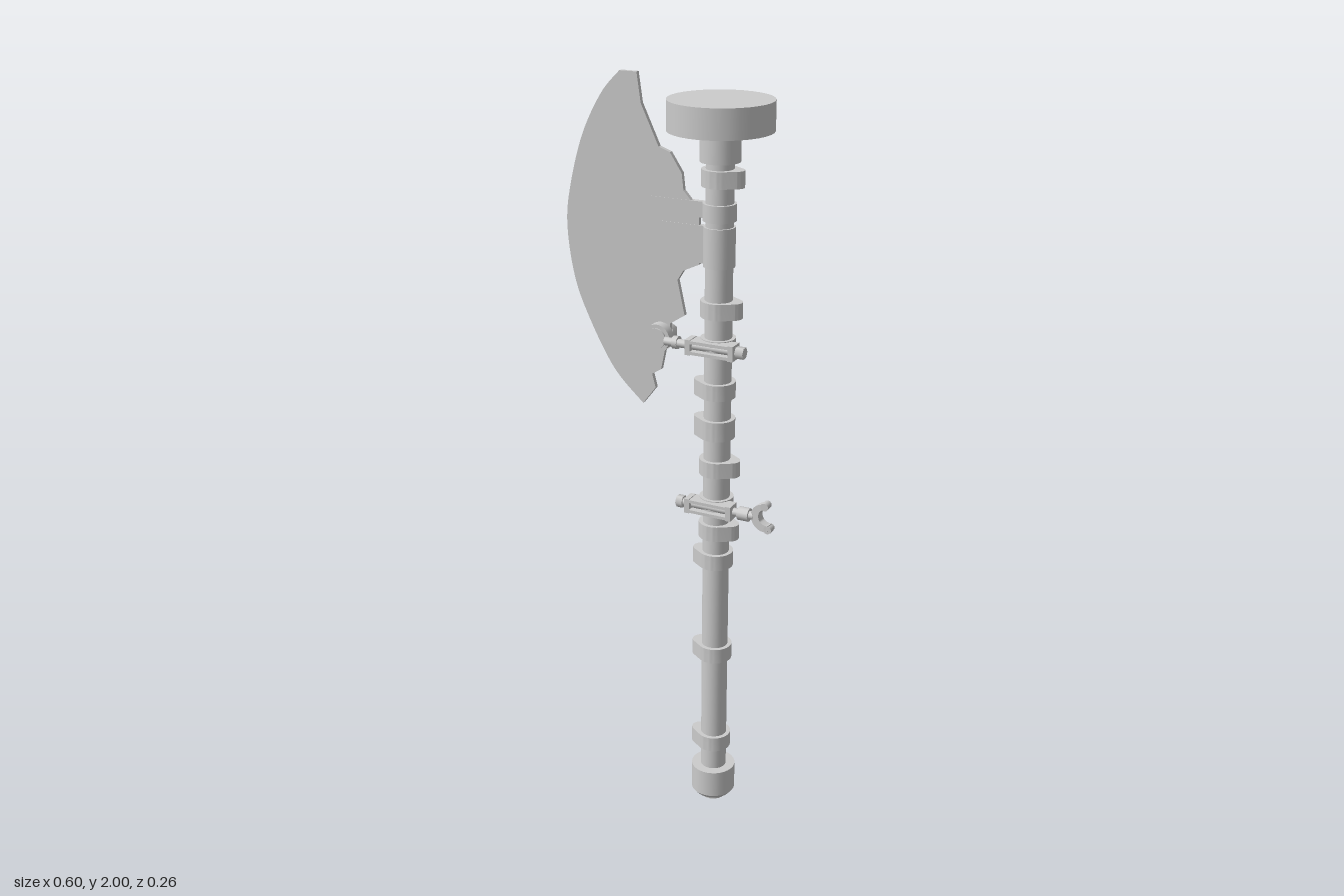
import * as THREE from 'three';
import { toCreasedNormals } from 'three/addons/utils/BufferGeometryUtils.js';

const CX = 0.122; // shaft axis
const mat = new THREE.MeshStandardMaterial({ color: 0xcccccc });

export function createModel() {
  const model = new THREE.Group();

  const add = (name, geo, x, y, z, parent = model) => {
    const mesh = new THREE.Mesh(geo, mat);
    mesh.name = name;
    mesh.position.set(x, y, z);
    parent.add(mesh);
    return mesh;
  };
  // Upright cylinder on the shaft axis between two heights
  const post = (name, r, y0, y1, rBottom = r) =>
    add(name, new THREE.CylinderGeometry(r, rBottom, y1 - y0, 32), CX, (y0 + y1) / 2, 0);
  // Cylinder along x or z
  const rod = (name, r, len, axis, x, y, z, sides = 16, parent = model) => {
    const geo = new THREE.CylinderGeometry(r, r, len, sides);
    if (axis === 'x') geo.rotateZ(Math.PI / 2);
    else geo.rotateX(Math.PI / 2);
    return add(name, geo, x, y, z, parent);
  };
  const extrude = (shape, depth) => {
    const geo = new THREE.ExtrudeGeometry(shape, { depth, bevelEnabled: false, curveSegments: 16 });
    geo.translate(0, 0, -depth / 2);
    return toCreasedNormals(geo, 0.6);
  };

  // Shaft, head disc and foot
  post('shaft', 0.035, 0, 1.85);
  post('headCollar', 0.05, 1.804, 1.88);
  post('headDisc', 0.131, 1.878, 1.952);
  post('footCap', 0.06, 0.026, 0.102);
  post('footChamfer', 0.06, 0.014, 0.026, 0.05);
  post('upperSleeve', 0.042, 1.66, 1.703);
  post('lowerSleeve', 0.04, 1.545, 1.645);

  // Egg-shaped cam lobes: a base circle and a smaller nose circle joined by tangents
  const camShape = new THREE.Shape();
  const R = 0.046, r = 0.024, d = 0.04, t = Math.acos((R - r) / d);
  camShape.absarc(0, 0, R, t, 2 * Math.PI - t, false);
  camShape.absarc(d, 0, r, -t, t, false);
  camShape.closePath();
  const cams = [ // height, thickness, direction
    [1.766, 0.042, 1], [1.438, 0.042, 1], [1.225, 0.042, -1], [1.12, 0.052, -1], [1.013, 0.042, 1],
    [0.833, 0.042, 1], [0.748, 0.042, -1], [0.467, 0.042, -1], [0.186, 0.042, -1],
  ];
  for (const [y, h, dir] of cams) {
    const geo = extrude(camShape, h).rotateX(-Math.PI / 2);
    if (dir < 0) geo.rotateY(Math.PI);
    add('camLobe', geo, CX, y, 0);
  }

  // Blade: curved cutting edge and a broken inner edge
  const blade = new THREE.Shape();
  blade.moveTo(-0.148, 2);
  blade.splineThru([
    [-0.2, 1.942], [-0.254, 1.84], [-0.291, 1.714], [-0.305, 1.607],
    [-0.288, 1.475], [-0.249, 1.369], [-0.175, 1.236], [-0.09, 1.151],
  ].map(([x, y]) => new THREE.Vector2(x, y)));
  for (const [x, y] of [
    [-0.053, 1.199], [-0.063, 1.236], [-0.037, 1.252], [-0.026, 1.305], [-0.011, 1.316],
    [-0.011, 1.379], [0.03, 1.406], [0.01, 1.496], [0.026, 1.522], [0.07, 1.543],
    [0.068, 1.7], [0.048, 1.7], [0.026, 1.724], [0.021, 1.766], [-0.011, 1.814],
    [-0.042, 1.825], [-0.09, 1.926], [-0.101, 2],
  ]) blade.lineTo(x, y);
  blade.closePath();
  add('blade', extrude(blade, 0.012), 0, 0, -0.001);

  // Tabs joining the blade to the sleeves
  add('upperTab', new THREE.BoxGeometry(0.17, 0.04, 0.015), 0.023, 1.682, -0.0015);
  add('lowerTab', new THREE.BoxGeometry(0.14, 0.095, 0.015), 0.038, 1.595, -0.0015);

  // Clamps: ring, front bar and cross bolt
  const clamp = (name, y, x0, x1) => {
    const group = new THREE.Group();
    group.name = name;
    model.add(group);
    add('clampRing', new THREE.CylinderGeometry(0.045, 0.045, 0.04, 24), CX, y, 0, group);
    for (const s of [-1, 1]) {
      add('clampPlate', new THREE.BoxGeometry(0.12, 0.008, 0.044), CX, y + s * 0.014, 0.036, group);
      add('clampLug', new THREE.BoxGeometry(0.014, 0.04, 0.04), CX + s * 0.059, y, 0.038, group);
    }
    rod('crossBolt', 0.011, x1 - x0, 'x', (x0 + x1) / 2, y, 0.035, 12, group);
    return group;
  };

  // Upper clamp with the bolt that holds the blade
  const upper = clamp('bladeClamp', 1.342, -0.01, 0.2);
  rod('boltHead', 0.016, 0.022, 'x', 0.2, 1.342, 0.035, 6, upper);
  rod('rodCollar', 0.017, 0.014, 'x', 0.02, 1.342, 0.032, 12, upper);
  rod('pivotKnob', 0.036, 0.026, 'z', -0.035, 1.345, 0.02, 24, upper);
  rod('pivotCap', 0.026, 0.006, 'z', -0.035, 1.345, 0.034, 24, upper);
  rod('pivotBolt', 0.014, 0.072, 'z', -0.035, 1.345, 0, 16, upper);
  rod('pivotNut', 0.028, 0.024, 'z', -0.035, 1.345, -0.022, 6, upper);

  // Lower clamp with a wing nut
  const lower = clamp('wingClamp', 0.907, 0.035, 0.245);
  rod('boltHead', 0.017, 0.018, 'x', 0.036, 0.907, 0.035, 6, lower);
  rod('wingHub', 0.018, 0.03, 'x', 0.218, 0.907, 0.035, 12, lower);
  const wing = new THREE.Shape();
  wing.absarc(0, 0, 0.038, Math.PI * 0.5, Math.PI * 1.6, false);
  wing.absarc(0.006, 0.003, 0.022, Math.PI * 1.6, Math.PI * 0.5, true);
  wing.closePath();
  const wingMesh = add('wing', extrude(wing, 0.022), 0.278, 0.91, 0.035, lower);
  wingMesh.rotation.y = -0.12;
  for (const a of [0.5, 1.6]) {
    rod('wingTip', 0.011, 0.024, 'z', 0.278 + 0.032 * Math.cos(Math.PI * a),
      0.91 + 0.032 * Math.sin(Math.PI * a), 0.035, 10, lower);
  }
  return model;
}
